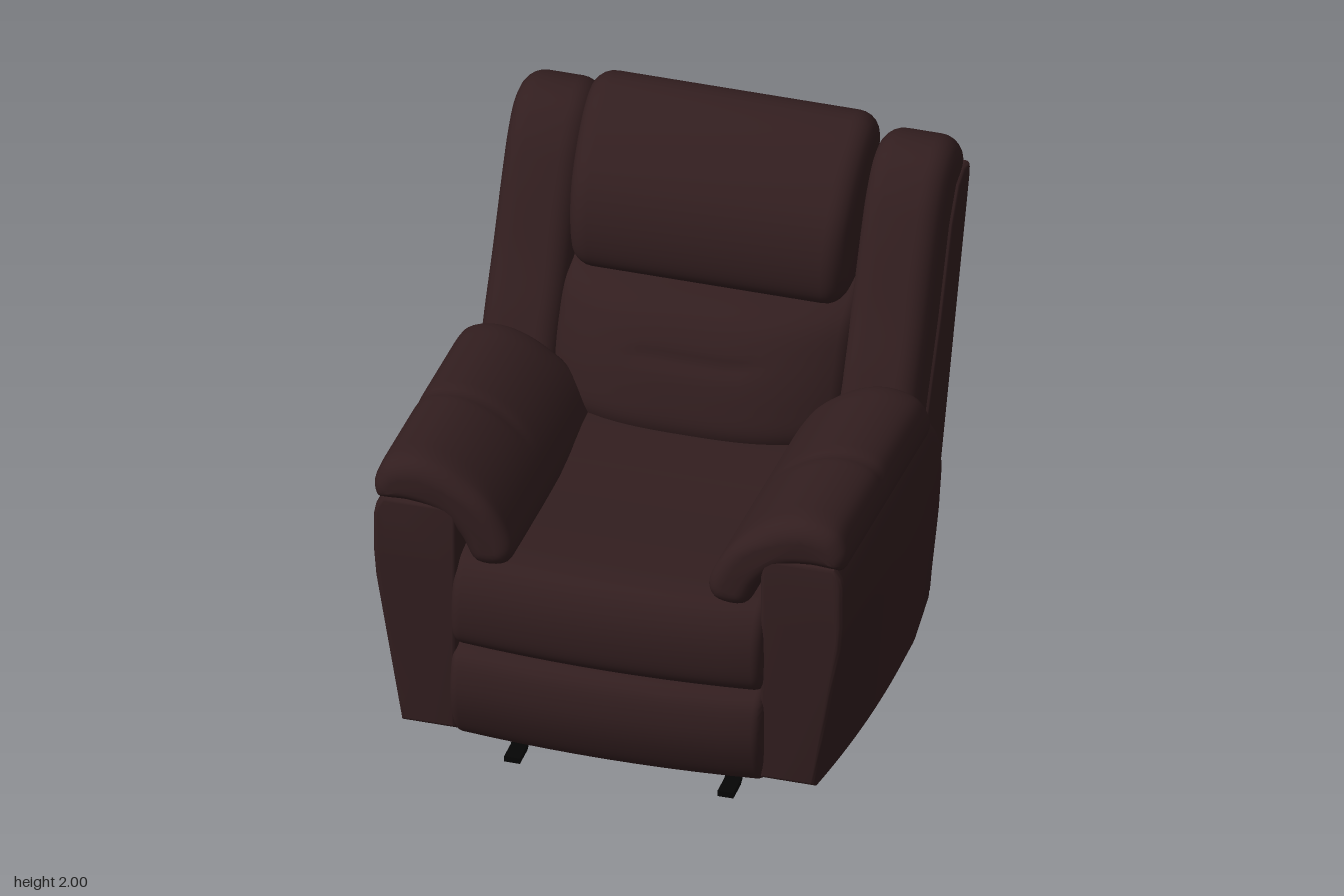
import * as THREE from 'three';
import { toCreasedNormals } from 'three/addons/utils/BufferGeometryUtils.js';

const leather = new THREE.MeshStandardMaterial({ color: 0x321e1f });
leather.name = 'brown leather';
const steel = new THREE.MeshStandardMaterial({ color: 0x050505 });
steel.name = 'black steel';

const { clamp } = THREE.MathUtils;

// Closed outline, either straight-sided or rounded by a spline
function outline(pts, smooth) {
  if (!smooth) return new THREE.Shape(pts.map(([a, b]) => new THREE.Vector2(a, b)));
  const curve = new THREE.CatmullRomCurve3(pts.map(([a, b]) => new THREE.Vector3(a, b, 0)), true);
  return new THREE.Shape(curve.getPoints(64).slice(0, -1).map(p => new THREE.Vector2(p.x, p.y)));
}

// Extrusion of total depth, centred on its axis, with softly rounded ends
function extrude(pts, depth, bevel, smooth, steps = 1) {
  const geo = new THREE.ExtrudeGeometry(outline(pts, smooth), {
    depth: depth - 2 * bevel, steps, bevelEnabled: bevel > 0, bevelThickness: bevel,
    bevelSize: bevel, bevelOffset: -bevel, bevelSegments: 6,
  });
  return geo.translate(0, 0, bevel - depth / 2);
}

// Moves every vertex by a rule
function warp(geo, rule) {
  const pos = geo.attributes.position;
  const v = new THREE.Vector3();
  for (let i = 0; i < pos.count; i++) {
    rule(v.fromBufferAttribute(pos, i));
    pos.setXYZ(i, v.x, v.y, v.z);
  }
  return geo;
}

// Solid from a (z, y) side profile spanning x0 to x1
function sideSolid(pts, x0, x1, bevel, smooth, rule, steps = 1) {
  const geo = extrude(pts, x1 - x0, bevel, smooth, steps);
  geo.rotateY(-Math.PI / 2).translate((x0 + x1) / 2, 0, 0);
  if (rule) warp(geo, rule);
  return toCreasedNormals(geo, 0.65);
}

// Height of the side panel's top edge along z
const panelEdge = [[-0.55, 0.65], [-0.48, 0.84], [-0.4, 0.95], [-0.3, 1.03], [-0.2, 1.05], [0.87, 1.1]];
function panelTop(z) {
  const i = clamp(panelEdge.findIndex(p => p[0] >= z), 1, panelEdge.length - 1);
  const [[z0, y0], [z1, y1]] = [panelEdge[i - 1], panelEdge[i]];
  return y0 + (y1 - y0) * clamp((z - z0) / (z1 - z0), 0, 1);
}

export function createModel() {
  const model = new THREE.Group();
  model.name = 'recliner';
  const add = (name, geo, mat = leather) => {
    const mesh = new THREE.Mesh(geo, mat);
    mesh.name = name;
    model.add(mesh);
    return mesh;
  };
  const box = (name, w, h, d, x, y, z, mat) =>
    add(name, new THREE.BoxGeometry(w, h, d).translate(x, y, z), mat);
  const low = y => Math.max(0, (0.8 - y) / 0.66);

  // Seat cushion and closed footrest, bowed forward in the middle
  const bowFront = v => { if (v.z > 0.7) v.z -= 0.035 * (v.x / 0.58) ** 2; };
  add('seatCushion', sideSolid([[0.86, 0.505], [0.925, 0.55], [0.945, 0.66], [0.925, 0.78], [0.87, 0.86],
    [0.76, 0.885], [0.3, 0.885], [-0.3, 0.87], [-0.3, 0.52], [0.3, 0.51]],
  -0.592, 0.592, 0.04, true, bowFront, 10));
  add('footrest', sideSolid([[0.86, 0.505], [0.925, 0.47], [0.955, 0.36], [0.94, 0.24], [0.885, 0.13],
    [0.82, 0.108], [0.77, 0.14], [0.76, 0.3], [0.77, 0.48]],
  -0.592, 0.592, 0.035, true, bowFront, 10));
  box('seatBase', 1.2, 0.35, 1.2, 0, 0.375, 0.18, leather);

  // Tilted back shell
  add('backShell', sideSolid([[-0.36, 0.94], [-0.55, 1.3], [-0.69, 1.62], [-0.78, 1.74], [-0.86, 1.765],
    [-0.93, 1.75], [-0.928, 1.71], [-0.565, 0.62], [-0.56, 0.48], [-0.5, 0.145], [-0.36, 0.145]],
  -0.845, 0.845, 0.02, false, v => { v.x *= 1 - 0.03 * low(v.y); }));

  // Back cushions, the lower one with a short stitched crease
  add('lumbarCushion', sideSolid([[-0.5, 1.39], [-0.38, 1.375], [-0.27, 1.32], [-0.19, 1.2], [-0.13, 1.05],
    [-0.11, 0.93], [-0.16, 0.85], [-0.4, 0.85], [-0.52, 1.15]],
  -0.56, 0.56, 0.05, true, v => {
    if (v.z > -0.3 && Math.abs(v.x) < 0.2) v.z -= 0.012 * Math.exp(-(((v.y - 1.18) / 0.025) ** 2));
    v.z -= 0.14 * Math.abs(v.x / 0.55) ** 3;
  }, 16));
  add('headCushion', sideSolid([[-0.44, 1.37], [-0.37, 1.42], [-0.35, 1.55], [-0.39, 1.72], [-0.49, 1.86],
    [-0.61, 1.96], [-0.73, 2.0], [-0.82, 1.97], [-0.865, 1.88], [-0.8, 1.68], [-0.62, 1.39]],
  -0.535, 0.535, 0.085, true, v => { v.x *= 1 + 0.08 * (v.y - 1.75); }));

  for (const s of [1, -1]) {
    const side = s > 0 ? 'left' : 'right';
    const span = (a, b) => (s > 0 ? [a, b] : [-b, -a]);
    const mirror = pts => pts.map(([x, y]) => [s * x, y]);

    // Wing cushion beside the back
    add(side + 'Wing', sideSolid([[-0.2, 0.95], [-0.27, 1.15], [-0.4, 1.4], [-0.52, 1.65], [-0.6, 1.79],
      [-0.69, 1.88], [-0.8, 1.905], [-0.9, 1.87], [-0.948, 1.79], [-0.9, 1.68], [-0.72, 1.3], [-0.52, 0.95]],
    ...span(0.53, 0.832), 0.085, true));

    // Side panel, tapering towards the floor, most of all at the front corner
    const heights = [0.14, 0.25, 0.35, 0.45, 0.55, 0.65, 0.75, 0.85, 0.95, 1.02];
    const panel = extrude(mirror([[0.575, 0.14], ...heights.map(y => [0.893, y]), [0.885, 1.06], [0.86, 1.1],
      [0.575, 1.1]]), 1.42, 0.025, false, 32);
    panel.translate(0, 0, 0.16);
    warp(panel, v => {
      v.y = 0.14 + (v.y - 0.14) * (panelTop(v.z) - 0.14) / 0.96;
      const outer = (Math.abs(v.x) - 0.575) / 0.318;
      const cut = low(v.y) * (0.04 + 0.07 * Math.max(0, v.z / 0.87) ** 2) + 0.1 * Math.max(0, -v.z - 0.2);
      v.x -= s * outer * cut;
      if (v.z < 0) v.z -= 0.06 * clamp((0.48 - v.y) / 0.34, 0, 1) * v.z / 0.55;
    });
    add(side + 'SidePanel', toCreasedNormals(panel, 0.65));

    // Arm pad draped inwards over the seat, rounded at both ends, with a seam across the top
    const pad = extrude(mirror([[0.898, 1.12], [0.892, 1.18], [0.85, 1.245], [0.74, 1.275], [0.62, 1.245],
      [0.5, 1.16], [0.41, 1.04], [0.37, 0.93], [0.40, 0.875], [0.51, 0.87], [0.57, 0.97], [0.65, 1.05],
      [0.76, 1.08], [0.88, 1.08]]), 1.145, 0.06, true, 40);
    pad.translate(0, 0, 0.3);
    warp(pad, v => {
      const seam = Math.exp(-(((v.z - 0.32) / 0.025) ** 2));
      const end = clamp((Math.abs(v.z - 0.3) - 0.44) / 0.13, 0, 1);
      v.y -= (0.01 * seam + 0.025 * end * end) * clamp((v.y - 1.1) / 0.1, 0, 1);
      v.y -= 0.07 * (0.85 - v.z);
    });
    add(side + 'ArmPad', toCreasedNormals(pad, 0.65));
  }

  // Reclining lever on the right side
  const lever = add('lever', new THREE.CapsuleGeometry(0.025, 0.34, 6, 12).scale(0.6, 1, 1));
  lever.position.set(-0.885, 0.435, 0.31);
  lever.rotation.x = 0.73;
  add('leverPivot', new THREE.CylinderGeometry(0.03, 0.03, 0.07, 16).rotateZ(Math.PI / 2)
    .translate(-0.85, 0.31, 0.195));

  // Steel underframe with bent feet
  const foot = [[0.815, 0], [0.72, 0], [0.7, 0.012], [0.67, 0.07], [0.64, 0.17], [0.662, 0.17],
    [0.688, 0.085], [0.715, 0.03], [0.73, 0.023], [0.815, 0.023]];
  for (const x of [0.43, -0.38]) {
    add('frontFoot', sideSolid(foot, x - 0.03, x + 0.03, 0, false), steel);
    add('rearFoot', sideSolid(foot.map(([z, y]) => [0.385 - z, y]), x - 0.03, x + 0.03, 0, false), steel);
    box('frameRail', 0.05, 0.04, 0.92, x, 0.16, 0.193, steel);
  }
  for (const z of [0.63, -0.245]) box('frameCrossbar', 0.81, 0.04, 0.04, 0.025, 0.16, z, steel);

  return model;
}
